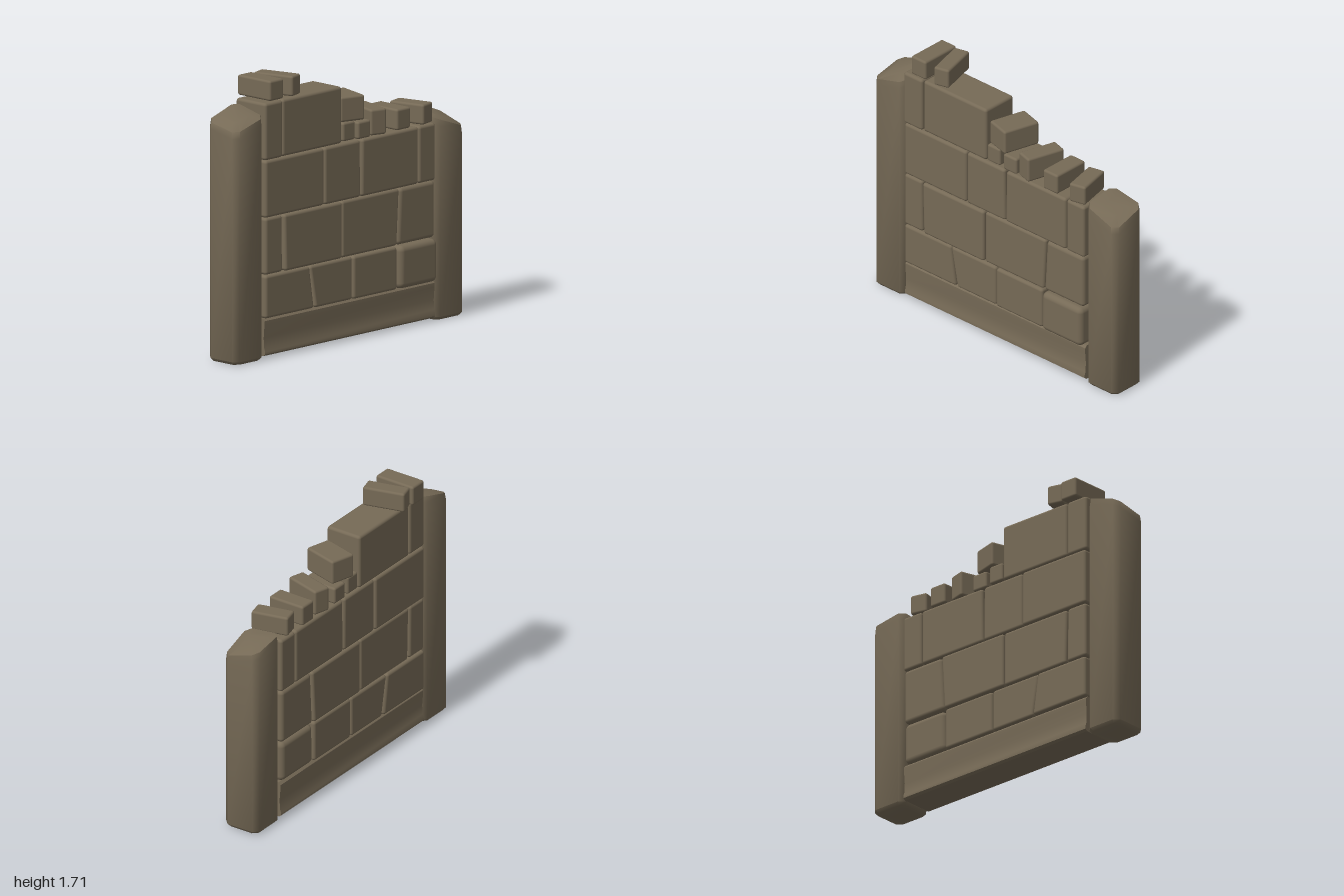
import * as THREE from 'three';
import { toCreasedNormals } from 'three/addons/utils/BufferGeometryUtils.js';
import { RoundedBoxGeometry } from 'three/addons/geometries/RoundedBoxGeometry.js';

const stone = new THREE.MeshStandardMaterial({ color: 0x766a56 });
stone.name = 'brown stone';

// Squared block; a and b are its two z ends, each given as [bottom, top]
function block(name, a, b, y0, y1, { x0 = -0.12, x1 = 0.13, r = 0.018 } = {}) {
  const h = y1 - y0;
  const geo = new RoundedBoxGeometry(x1 - x0, h, 1, 3, r);
  const p = geo.attributes.position;
  const width = (a[0] + a[1] - b[0] - b[1]) / 2;
  for (let i = 0; i < p.count; i++) {
    const t = p.getY(i) / h + 0.5;
    const za = THREE.MathUtils.lerp(a[0], a[1], t);
    const zb = THREE.MathUtils.lerp(b[0], b[1], t);
    // keep the corner rounding its true size while moving the ends
    const z = p.getZ(i);
    const s = Math.sign(z) * (0.5 - Math.abs(z));
    const end = z > 0 ? za : zb;
    p.setZ(i, end - Math.sign(s) * Math.min(Math.abs(s), width / 2));
  }
  geo.translate((x0 + x1) / 2, (y0 + y1) / 2, 0);
  const mesh = new THREE.Mesh(geo, stone);
  mesh.name = name;
  return mesh;
}

// Loose stone, turned about its own vertical axis
function looseStone([x, y, z], [w, h, d], turn) {
  const mesh = new THREE.Mesh(new RoundedBoxGeometry(w, h, d, 3, 0.014), stone);
  mesh.position.set(x, y + h / 2, z);
  mesh.rotation.y = turn;
  mesh.name = 'looseStone';
  return mesh;
}

// Chamfered post with a broken top; heights are for corners
// [-x outer, +x outer, -x inner, +x inner]
function pillar(name, side, heights, crown) {
  const hx = 0.125, hz = 0.1275, c = 0.035;
  const plan = [[hx, hz - c], [hx, c - hz], [hx - c, -hz], [c - hx, -hz],
    [-hx, c - hz], [-hx, hz - c], [c - hx, hz], [hx - c, hz]];
  const n = plan.length, pos = [], idx = [];
  const height = (x, z) => {
    const u = x / hx / 2 + 0.5, v = (z * side) / hz / 2 + 0.5;
    const inner = THREE.MathUtils.lerp(heights[2], heights[3], u);
    return THREE.MathUtils.lerp(inner, THREE.MathUtils.lerp(heights[0], heights[1], u), v);
  };
  const rings = [[0.86, () => 0], [1, () => 0.02], [1, (x, z) => height(x, z) - 0.04],
    [0.96, height], [0.5, (x, z) => height(x, z) + crown]];
  for (const [s, y] of rings)
    for (const [x, z] of plan) pos.push(x * s + 0.005, y(x * s, z * s), z * s + side * 0.8725);
  for (let k = 0; k < rings.length - 1; k++)
    for (let i = 0; i < n; i++) {
      const j = (i + 1) % n, a = k * n + i, b = k * n + j;
      idx.push(a, b, b + n, a, b + n, a + n);
    }
  const last = (rings.length - 1) * n;
  for (let i = 1; i < n - 1; i++) {
    idx.push(0, i + 1, i);
    idx.push(last, last + i, last + i + 1);
  }
  const geo = new THREE.BufferGeometry();
  geo.setAttribute('position', new THREE.Float32BufferAttribute(pos, 3));
  geo.setIndex(idx);
  const mesh = new THREE.Mesh(toCreasedNormals(geo, 0.9), stone);
  mesh.name = name;
  return mesh;
}

// Long base with slightly hollow sides and a small foot
function plinth() {
  const half = [[0.105, 0.018], [0.12, 0.03], [0.12, 0.045], [0.112, 0.07],
    [0.108, 0.13], [0.115, 0.21], [0.115, 0.235], [0.1, 0.25]];
  const outline = [...half, ...half.map(([x, y]) => [-x, y]).reverse()];
  const shape = new THREE.Shape(outline.map(([x, y]) => new THREE.Vector2(x, y)));
  const geo = new THREE.ExtrudeGeometry(shape, { depth: 1.48, bevelEnabled: false });
  geo.translate(0.003, 0, -0.74);
  const mesh = new THREE.Mesh(toCreasedNormals(geo, 0.6), stone);
  mesh.name = 'plinth';
  return mesh;
}

export function createModel() {
  const model = new THREE.Group();
  model.name = 'ruinedWall';

  model.add(pillar('frontPillar', 1, [1.48, 1.43, 1.56, 1.5], 0.02));
  model.add(pillar('backPillar', -1, [1.24, 1.16, 1.28, 1.25], 0.015));
  model.add(plinth());

  // Courses of squared blocks: [end a, end b, options]
  const courses = [
    { y: [0.25, 0.515], blocks: [
      [[0.74, 0.74], [0.315, 0.355], { x0: -0.125 }],
      [[0.305, 0.355], [-0.015, -0.015]],
      [[-0.02, -0.02], [-0.4, -0.4], { x1: 0.135 }],
      [[-0.405, -0.41], [-0.735, -0.735], { x1: 0.155, r: 0.035 }]] },
    { y: [0.52, 0.87], blocks: [
      [[0.74, 0.74], [0.59, 0.595]],
      [[0.575, 0.585], [0.08, 0.08], { x1: 0.138 }],
      [[0.075, 0.075], [-0.405, -0.425], { x0: -0.125 }],
      [[-0.41, -0.43], [-0.735, -0.735], { r: 0.025 }]] },
    { y: [0.872, 1.225], blocks: [
      [[0.74, 0.74], [0.23, 0.23], { x0: -0.125 }],
      [[0.225, 0.225], [-0.09, -0.085]],
      [[-0.095, -0.1], [-0.59, -0.59], { x1: 0.132 }],
      [[-0.595, -0.595], [-0.74, -0.74]]] },
    { y: [1.228, 1.58], blocks: [
      [[0.745, 0.745], [0.592, 0.592], { x1: 0.132 }],
      [[0.587, 0.587], [0.07, 0.07], { x0: -0.12, x1: 0.125 }]] },
  ];
  courses.forEach(({ y, blocks }, row) => {
    const course = new THREE.Group();
    course.name = `course${row + 1}`;
    blocks.forEach(([a, b, opts]) => course.add(block('wallBlock', a, b, y[0], y[1], opts)));
    model.add(course);
  });

  // Loose stones along the broken top: position of base, size, turn
  const rubble = new THREE.Group();
  rubble.name = 'topStones';
  const stones = [
    [[-0.018, 1.585, 0.633], [0.275, 0.125, 0.12], 0],
    [[-0.02, 1.585, 0.487], [0.27, 0.125, 0.103], 0.26],
    [[0.007, 1.35, -0.055], [0.245, 0.155, 0.17], -0.27],
    [[0.005, 1.235, 0.008], [0.24, 0.115, 0.105], 0],
    [[0.005, 1.228, -0.125], [0.24, 0.107, 0.11], 0],
    [[0.007, 1.23, -0.278], [0.255, 0.16, 0.11], -0.28],
    [[0.005, 1.23, -0.462], [0.25, 0.13, 0.118], 0],
    [[0.007, 1.23, -0.652], [0.24, 0.125, 0.112], 0.23],
  ];
  stones.forEach((s) => rubble.add(looseStone(...s)));
  model.add(rubble);

  return model;
}
